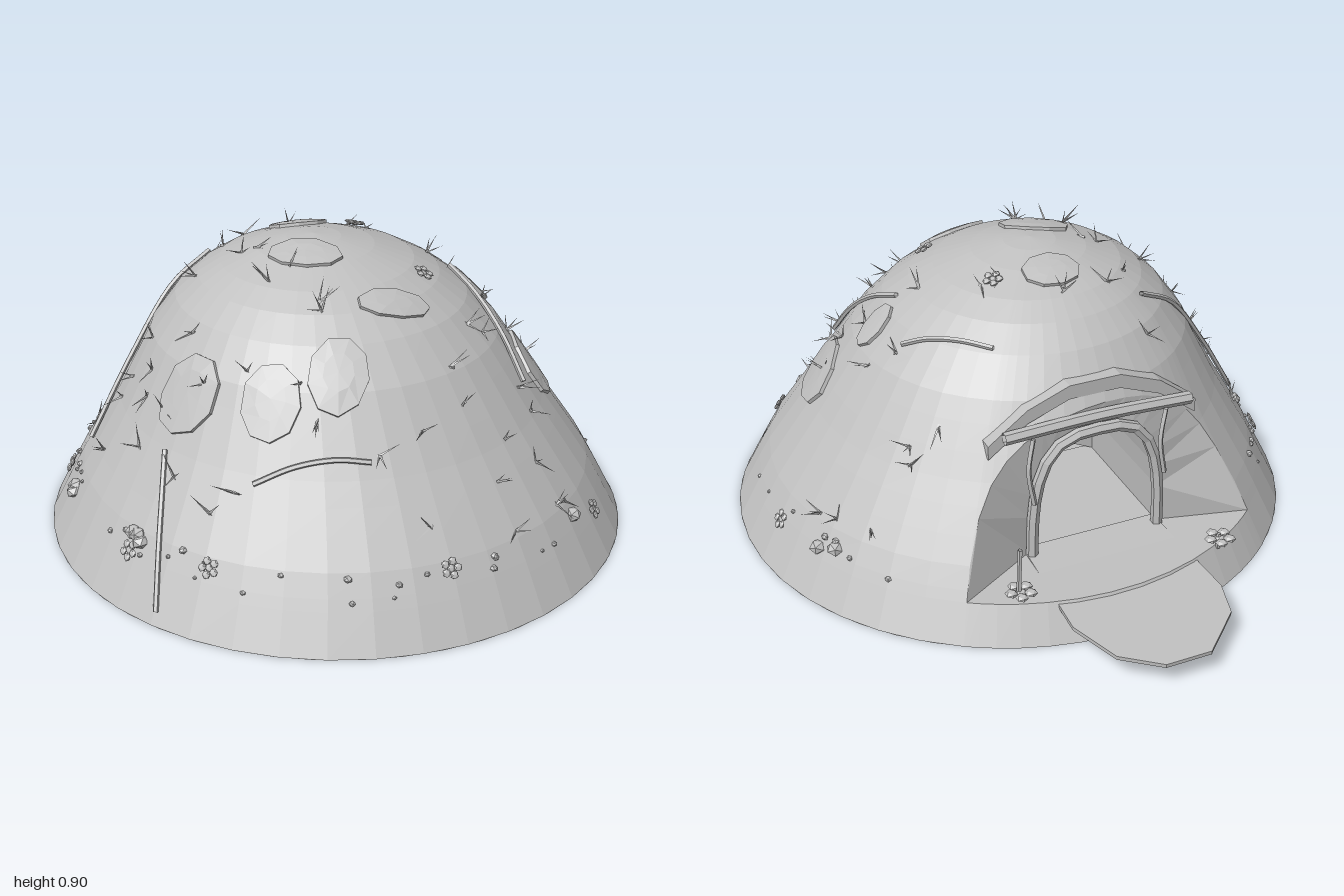
import * as THREE from 'three';

const earth = new THREE.MeshStandardMaterial({ color: 0xc0c0c0, flatShading: true, side: THREE.DoubleSide });
earth.name = 'pale grey';

let seed = 7;
const rnd = () => (seed = (seed * 16807) % 2147483647) / 2147483647;

// mound outline: [height, radius]
const PROFILE = [[0, 0.872], [0.11, 0.814], [0.14, 0.798], [0.2, 0.765], [0.4, 0.635], [0.6, 0.515], [0.7, 0.43],
  [0.76, 0.355], [0.8, 0.285], [0.84, 0.175], [0.862, 0.08], [0.87, 0]];
const LEVELS = [0.11, 0.14, 0.2, 0.27, 0.34, 0.4, 0.47, 0.54, 0.6, 0.65, 0.7, 0.76, 0.8, 0.84, 0.862, 0.87];
const TOP = 0.87, FLOOR = 0.11, HALF = 0.63, DOOR_TURN = -0.08;

function radius(y) {
  for (let i = 1; i < PROFILE.length; i++) {
    const [y0, r0] = PROFILE[i - 1], [y1, r1] = PROFILE[i];
    if (y <= y1) return r0 + (r1 - r0) * (y - y0) / (y1 - y0);
  }
  return 0;
}
const centre = (y) => [-0.06 * (y / TOP) ** 2, 0.128 - 0.05 * Math.max(0, y - 0.2)];
function onMound(theta, y) {
  const [cx, cz] = centre(y), r = radius(y);
  return new THREE.Vector3(cx + r * Math.sin(theta), y, cz - r * Math.cos(theta));
}
// mound surface straight above a ground position
function surface(x, z) {
  let lo = 0, hi = TOP;
  for (let i = 0; i < 24; i++) {
    const y = (lo + hi) / 2, [cx, cz] = centre(y);
    if (Math.hypot(x - cx, z - cz) < radius(y)) lo = y; else hi = y;
  }
  return new THREE.Vector3(x, lo, z);
}
function normalAt(x, z) {
  const e = 0.02;
  return new THREE.Vector3(surface(x - e, z).y - surface(x + e, z).y, 2 * e,
    surface(x, z - e).y - surface(x, z + e).y).normalize();
}

// skin over rows of points
function loft(rows) {
  const n = rows[0].length, pos = [], idx = [];
  rows.forEach((row) => row.forEach((p) => pos.push(p.x, p.y, p.z)));
  for (let i = 0; i < rows.length - 1; i++) {
    for (let j = 0; j < n - 1; j++) {
      const a = i * n + j, b = a + 1, c = a + n, d = c + 1;
      idx.push(a, c, b, b, c, d);
    }
  }
  const g = new THREE.BufferGeometry();
  g.setAttribute('position', new THREE.Float32BufferAttribute(pos, 3));
  g.setIndex(idx);
  g.computeVertexNormals();
  return g;
}

export function createModel() {
  const model = new THREE.Group();
  const UP = new THREE.Vector3(0, 1, 0);
  const V = (x, y, z) => new THREE.Vector3(x, y, z);
  const add = (name, geo, parent = model) => {
    const m = new THREE.Mesh(geo, earth);
    m.name = name;
    parent.add(m);
    return m;
  };
  const group = (name) => {
    const g = new THREE.Group();
    g.name = name;
    model.add(g);
    return g;
  };
  const tube = (name, pts, r, parent, sides = 6) =>
    add(name, new THREE.TubeGeometry(new THREE.CatmullRomCurve3(pts), 16, r, sides), parent);

  // columns: fine across the doorway, even around the rest
  const N = 16, M = 34;
  const doorS = Array.from({ length: N + 1 }, (_, i) => i / N);
  const doorCol = doorS.map((s) => ({
    theta: DOOR_TURN - HALF * Math.cos(Math.PI * s),
    y0: FLOOR + 0.46 * Math.max(0, Math.sin(Math.PI * s)) ** 0.5,
  }));
  const cols = [...doorCol];
  for (let i = 1; i <= M; i++) cols.push({ theta: DOOR_TURN + HALF + (2 * Math.PI - 2 * HALF) * i / M, y0: FLOOR });

  // mound, base band and underside
  add('mound', loft(LEVELS.map((y) => cols.map((c) => onMound(c.theta, Math.max(c.y0, y))))));
  add('baseBand', loft([0, FLOOR].map((y) => cols.map((c) => onMound(c.theta, y)))));
  const under = add('underside', new THREE.CircleGeometry(0.872, 48).rotateX(Math.PI / 2));
  under.position.z = 0.128;

  // doorway: flared reveal, arch and inner chamber
  const arch = (w, h, z) => doorS.map((s) => {
    const c = Math.cos(Math.PI * s), q = Math.sin(Math.PI * s);
    return V(-0.04 - w * Math.sign(c) * Math.abs(c) ** 0.6, FLOOR + h * Math.max(0, q) ** 0.7, z);
  });
  const doorArch = arch(0.21, 0.39, -0.42);
  add('doorReveal', loft([doorArch, doorCol.map((c) => onMound(c.theta, c.y0))]));
  add('chamber', loft([doorS.map(() => V(-0.04, 0.2, 0.04)), arch(0.21, 0.38, 0.02), doorArch]));
  const floorPts = doorCol.map((c) => onMound(c.theta, FLOOR));
  add('doorFloor', loft([floorPts, floorPts.map((p) => V(p.x * 0.6, FLOOR, 0.04))]));
  tube('doorFrame', arch(0.205, 0.385, -0.435), 0.018);

  // tongue-shaped ramp
  const outline = [[-0.25, -0.4], [-0.28, -0.77], [-0.25, -0.88], [-0.12, -1], [0.02, -1], [0.13, -0.92], [0.19, -0.77], [0.18, -0.4]];
  const ramp = add('ramp', new THREE.ExtrudeGeometry(new THREE.Shape(outline.map((p) => new THREE.Vector2(...p))),
    { depth: 0.012, bevelEnabled: false }).rotateX(Math.PI / 2));
  ramp.rotation.x = -0.055;
  ramp.position.y = 0.139;

  // lintel: curved board, straight log and hanging vines
  const bend = (dy) => [[-0.37, 0.47], [-0.25, 0.56], [-0.12, 0.61], [0.04, 0.61], [0.17, 0.56], [0.29, 0.47]]
    .map(([x, y]) => new THREE.Vector2(x, y + dy));
  const board = add('archBoard', new THREE.ExtrudeGeometry(new THREE.Shape([...bend(0.032), ...bend(-0.012).reverse()]),
    { depth: 0.05, bevelEnabled: false }));
  board.position.z = -0.41;
  tube('lintelLog', [V(-0.34, 0.525, -0.43), V(-0.05, 0.54, -0.435), V(0.25, 0.53, -0.43)], 0.019);
  for (const x of [-0.25, 0.17]) {
    tube('hangingVine', [V(x, 0.52, -0.45), V(x + 0.015, 0.42, -0.455), V(x - 0.005, 0.3, -0.45)], 0.008, model, 4);
  }

  // turf patches hugging the slope: x, z, half width across, half length down the slope, tilt
  const patches = group('turfPatches');
  const PATCH = [[-0.51, 0.36, 0.1, 0.13, 0.2], [-0.33, 0.54, 0.085, 0.12, 0], [-0.15, 0.57, 0.085, 0.11, 0.2],
    [0.06, 0.43, 0.11, 0.05, 0.35], [0.56, 0.29, 0.13, 0.11, 0], [0.43, 0.12, 0.05, 0.08, 0],
    [-0.05, -0.08, 0.09, 0.07, 0], [-0.12, 0.2, 0.11, 0.07, 0]];
  for (const [x, z, w, h, tilt] of PATCH) {
    const mid = surface(x, z), n = normalAt(x, z);
    const across = V(n.z, 0, -n.x).normalize(), down = new THREE.Vector3().crossVectors(across, n);
    const ring = (size, lift) => Array.from({ length: 10 }, (_, i) => {
      const a = (i / 9) * Math.PI * 2, u = w * Math.cos(a), v = h * Math.sin(a);
      const p = mid.clone().addScaledVector(across, size * (u * Math.cos(tilt) - v * Math.sin(tilt)))
        .addScaledVector(down, size * (u * Math.sin(tilt) + v * Math.cos(tilt)));
      return surface(p.x, p.z).addScaledVector(normalAt(p.x, p.z), lift);
    });
    add('turfPatch', loft([ring(1, -0.01), ring(0.98, 0.01), ring(0.5, 0.011), ring(0, 0.011)]), patches);
  }

  // fallen sticks following the slope: start and end on the ground plan
  const sticks = group('sticks');
  const STICK = [[-0.72, -0.02, -0.3, -0.17], [-0.69, 0.63, -0.59, 0.39], [-0.41, 0.63, -0.11, 0.72],
    [0.35, 0.14, 0.45, 0.47], [0.2, -0.24, 0.4, -0.04]];
  for (const [x0, z0, x1, z1] of STICK) {
    const pts = [0, 0.35, 0.7, 1].map((t) => {
      const x = x0 + (x1 - x0) * t, z = z0 + (z1 - z0) * t;
      return surface(x, z).addScaledVector(normalAt(x, z), 0.008);
    });
    tube('stick', pts, 0.008, sticks, 5);
  }

  // scattered grass blades
  const grass = group('grass');
  const blade = new THREE.ConeGeometry(0.0045, 0.075, 3).translate(0, 0.028, 0);
  for (let i = 0; i < 75; i++) {
    const p = onMound(rnd() * Math.PI * 2, 0.2 + 0.66 * rnd());
    if (Math.abs(p.x) < 0.52 && p.z < -0.3) continue;
    const n = normalAt(p.x, p.z);
    for (let k = 0; k < 3; k++) {
      const m = add('blade', blade, grass);
      m.position.copy(p);
      const lean = V(rnd() - 0.5, rnd() - 0.5, rnd() - 0.5).multiplyScalar(2.8);
      m.quaternion.setFromUnitVectors(UP, n.clone().add(lean).normalize());
      m.scale.setScalar(0.7 + 0.5 * rnd());
    }
  }

  // pebbles around the foot of the mound
  const pebbles = group('pebbles');
  const stone = new THREE.IcosahedronGeometry(1, 0);
  for (let i = 0; i < 46; i++) {
    const theta = HALF + 0.15 + (2 * Math.PI - 2 * HALF - 0.3) * rnd();
    const m = add('pebble', stone, pebbles);
    m.position.copy(onMound(theta, 0.13 + 0.07 * rnd()));
    const s = i % 6 === 0 ? 0.026 : 0.006 + 0.007 * rnd();
    m.scale.set(s, s * 0.8, s * 1.1);
    m.rotation.y = rnd() * 6;
  }

  // small five-petalled blossoms on the slope and beside the door
  const petal = new THREE.IcosahedronGeometry(0.014, 0).scale(1, 0.5, 1);
  const blossom = (p, n, size) => {
    const g = group('blossom');
    g.position.copy(p);
    g.quaternion.setFromUnitVectors(UP, n);
    g.scale.setScalar(size);
    add('blossomHeart', petal, g);
    for (let k = 0; k < 5; k++) {
      const a = k * Math.PI * 0.4;
      add('petal', petal, g).position.set(0.022 * Math.cos(a), 0.004, 0.022 * Math.sin(a));
    }
  };
  for (const [x, z] of [[-0.72, 0.47], [0.6, 0.66], [0.79, 0], [-0.77, -0.09], [0.12, -0.05], [0.2, 0.3], [0.05, 0.9], [-0.55, 0.68]]) {
    const n = normalAt(x, z);
    blossom(surface(x, z).addScaledVector(n, 0.008), n, 0.9);
  }
  for (const [x, height] of [[-0.36, 0.15], [0.28, 0.28]]) {
    tube('flowerStem', [V(x, 0.1, -0.61), V(x + 0.004, 0.13, -0.612), V(x, height, -0.61)], 0.007, model, 5);
    blossom(V(x, 0.135, -0.615), UP, 1.35);
  }
  return model;
}
